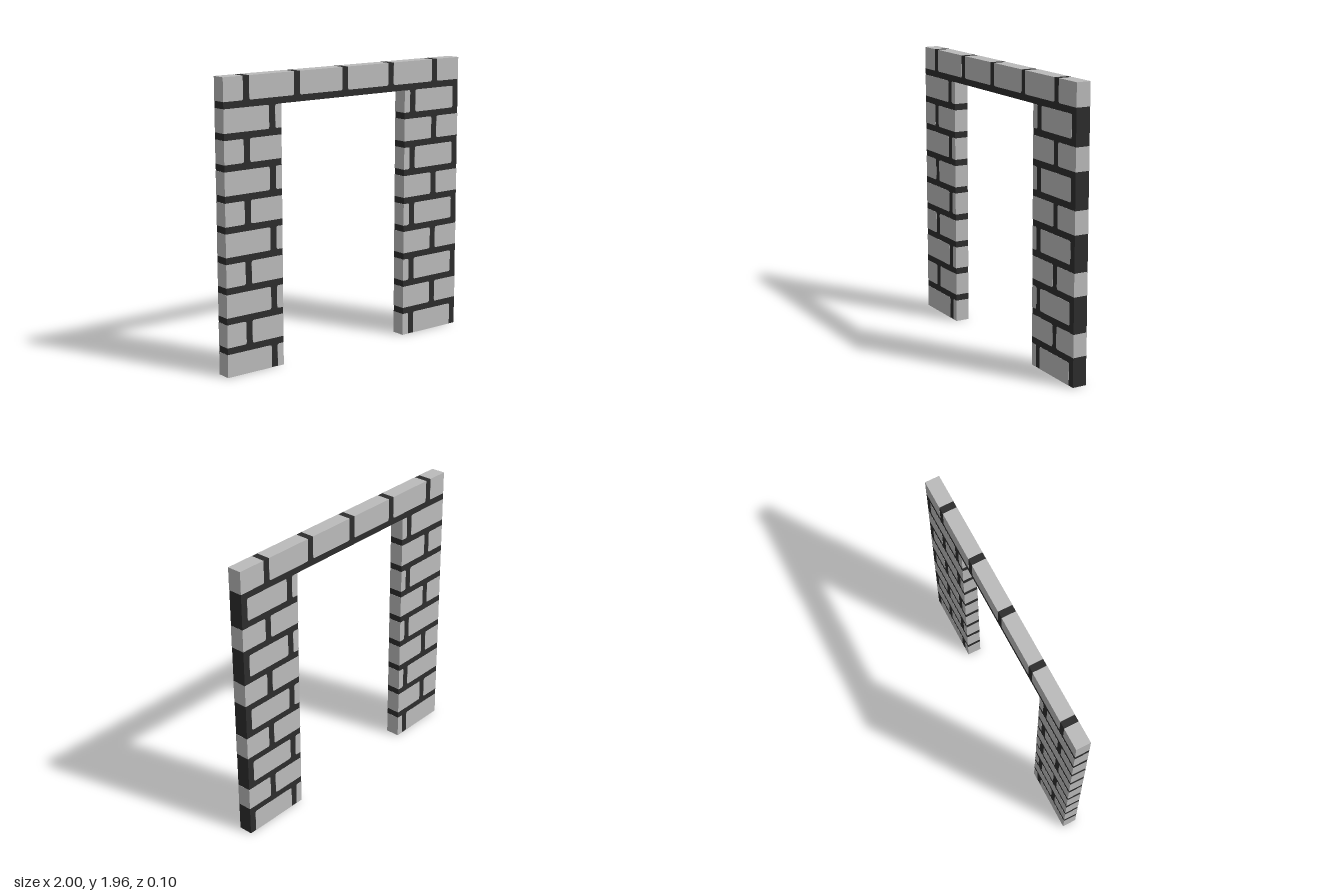
import * as THREE from 'three';

const DEPTH = 0.1, TOP = 1.955, LINTEL = 1.756;
const COURSE = 0.2, BED = 0.045;        // course pitch and horizontal joint
const PITCH = 0.4, JOINT = 0.048;       // brick pitch and vertical joint
const ROUND = 0.015, INSET = 0.0008;

const brickMat = new THREE.MeshStandardMaterial({ color: 0xbbbbbb });
brickMat.name = 'light grey brick';
const mortarMat = new THREE.MeshStandardMaterial({ color: 0x2d2d2d });
mortarMat.name = 'dark mortar';

// Brick through the full wall; corners [bl, br, tr, tl] are rounded where they meet joints
function brick(x0, x1, y0, y1, rounded) {
  const corners = [[x0, y0], [x1, y0], [x1, y1], [x0, y1]];
  const r = Math.min(ROUND, (x1 - x0) / 2);
  const toward = ([ax, ay], [bx, by]) => [ax + Math.sign(bx - ax) * r, ay + Math.sign(by - ay) * r];
  const s = new THREE.Shape();
  corners.forEach((c, i) => {
    const a = rounded[i] ? toward(c, corners[(i + 3) % 4]) : c;
    if (i === 0) s.moveTo(...a); else s.lineTo(...a);
    if (rounded[i]) s.quadraticCurveTo(...c, ...toward(c, corners[(i + 1) % 4]));
  });
  s.closePath();
  const g = new THREE.ExtrudeGeometry(s, { depth: DEPTH, bevelEnabled: false, curveSegments: 4 });
  g.translate(0, 0, -DEPTH / 2);
  const m = new THREE.Mesh(g, brickMat);
  m.name = 'brick';
  return m;
}

// One course of bricks clipped to the span left..right
function course(row, left, right) {
  const group = new THREE.Group();
  group.name = 'course';
  const y0 = row * COURSE, y1 = y0 + COURSE - BED;
  const low = row > 0, high = row < 9;
  const start = (row % 2 ? -0.85 : -1.05) - PITCH + JOINT;
  for (let x = start; x < right; x += PITCH) {
    const end = x + PITCH - JOINT;
    const x0 = Math.max(x, left), x1 = Math.min(end, right);
    if (x1 - x0 < 0.01) continue;
    const l = x > left, r = end < right;
    group.add(brick(x0, x1, y0, y1, [l && low, r && low, r && high, l && high]));
  }
  return group;
}

// Mortar core, a hair inside the brick faces
function mortar(x0, x1, y0, y1) {
  const g = new THREE.BoxGeometry(x1 - x0 - 2 * INSET, y1 - y0 - 2 * INSET, DEPTH - 2 * INSET);
  const m = new THREE.Mesh(g, mortarMat);
  m.position.set((x0 + x1) / 2, (y0 + y1) / 2, 0);
  m.name = 'mortar';
  return m;
}

export function createModel() {
  const model = new THREE.Group();
  model.name = 'brickDoorway';

  // Side pillars
  for (const [name, left, right] of [['rightPillar', -1, -0.553], ['leftPillar', 0.5, 1]]) {
    const pillar = new THREE.Group();
    pillar.name = name;
    pillar.add(mortar(left, right, 0, LINTEL + 2 * INSET));
    for (let row = 0; row < 9; row++) pillar.add(course(row, left, right));
    model.add(pillar);
  }

  // Top course on its mortar bed
  const lintel = new THREE.Group();
  lintel.name = 'lintel';
  lintel.add(mortar(-1, 1, LINTEL - INSET, TOP), course(9, -1, 1));
  model.add(lintel);
  return model;
}
